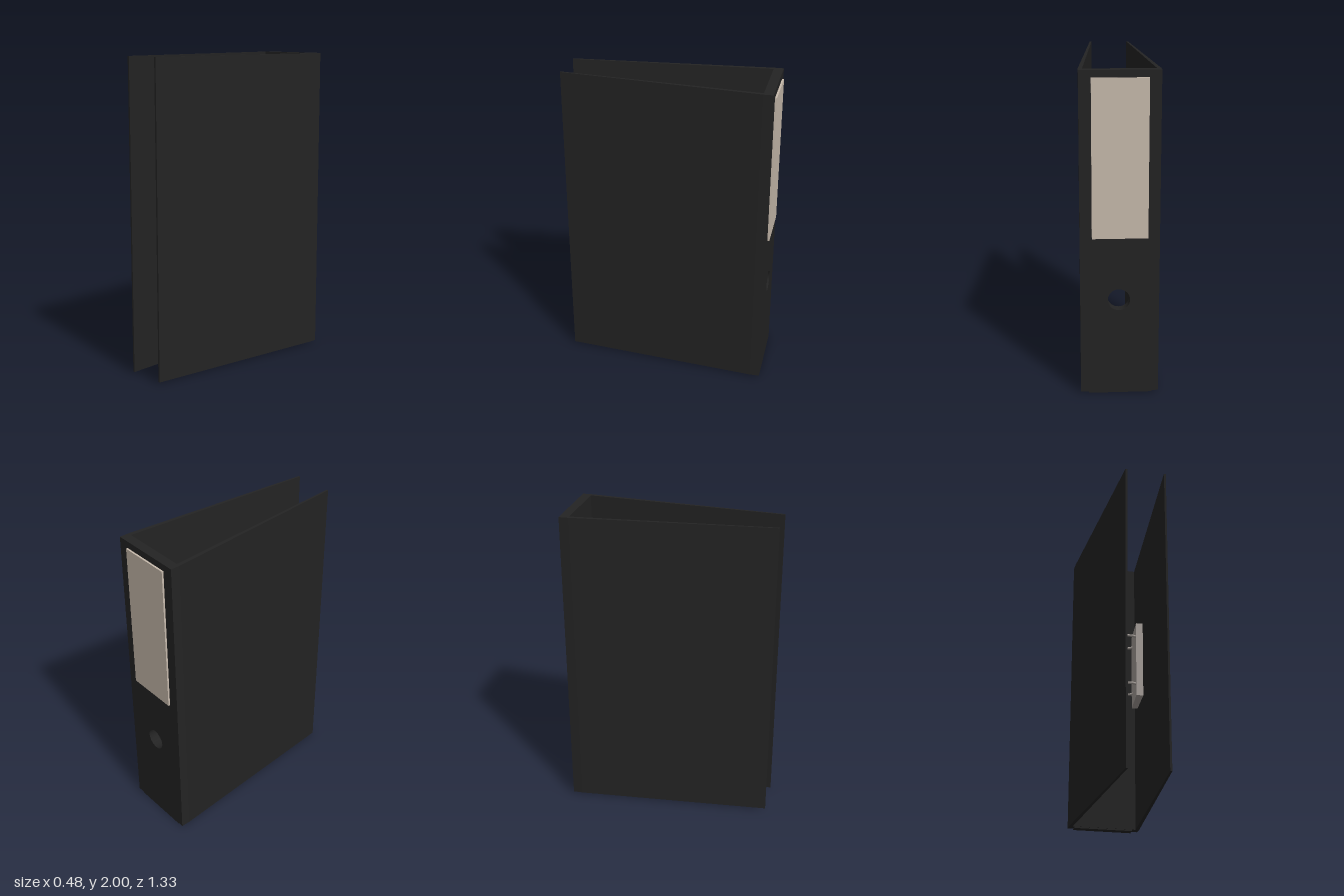
import * as THREE from 'three';

const mat = (name, color) => new THREE.MeshStandardMaterial({ name, color });

export function createModel() {
  const group = new THREE.Group();
  const black = mat('black board', 0x232323);
  const paper = mat('label paper', 0xc6b9ab);
  const metal = mat('grey metal', 0xa39c97);

  const add = (name, geometry, material) => {
    const mesh = new THREE.Mesh(geometry, material);
    mesh.name = name;
    group.add(mesh);
    return mesh;
  };
  const box = (name, material, x0, x1, y0, y1, z0, z1) => {
    const mesh = add(name, new THREE.BoxGeometry(x1 - x0, y1 - y0, z1 - z0), material);
    mesh.position.set((x0 + x1) / 2, (y0 + y1) / 2, (z0 + z1) / 2);
  };
  // Upright prism from a plan outline of [x, z] corners
  const prism = (name, material, plan, y0, y1) => {
    const shape = new THREE.Shape(plan.map(([x, z]) => new THREE.Vector2(x, -z)));
    const geo = new THREE.ExtrudeGeometry(shape, { depth: y1 - y0, bevelEnabled: false });
    add(name, geo.rotateX(-Math.PI / 2).translate(0, y0, 0), material);
  };

  // Spine with finger hole
  const spine = new THREE.Shape();
  spine.moveTo(-0.238, 0.01).lineTo(0.238, 0.01).lineTo(0.238, 2).lineTo(-0.238, 2).closePath();
  spine.holes.push(new THREE.Path().absarc(0.005, 0.615, 0.067, 0, Math.PI * 2, true));
  add('spine', new THREE.ExtrudeGeometry(spine,
    { depth: 0.06, bevelEnabled: false, curveSegments: 24 }).translate(0, 0, -0.655), black);
  box('spineFoot', black, -0.2, 0.19, 0, 0.01, -0.653, -0.597);

  // Two tapering covers leaning towards each other at the open edge
  for (const [name, s] of [['leftCover', 1], ['rightCover', -1]]) {
    prism(name, black, [
      [s * 0.238, -0.595], [s * 0.213, -0.595], [s * 0.12, 0.665], [s * 0.132, 0.665],
    ], 0.01, 2);
  }

  // Label on the back of the spine
  box('label', paper, -0.168, 0.166, 1.005, 1.957, -0.667, -0.655);

  // Ring mechanism: base on the left cover and two faceted rings
  prism('ringBase', metal, [[0.16, -0.46], [0.2, -0.458], [0.185, -0.22], [0.138, -0.222]], 0.83, 1.37);
  const ring = [
    [0.175, -0.41], [0.145, -0.442], [0.08, -0.465], [0.012, -0.456], [-0.042, -0.415],
    [-0.066, -0.35], [-0.056, -0.29], [-0.015, -0.256], [0.06, -0.244], [0.115, -0.24], [0.155, -0.255],
  ];
  for (const y of [0.925, 1.28]) {
    const curve = new THREE.CatmullRomCurve3(ring.map(([x, z]) => new THREE.Vector3(x, y, z)));
    curve.getPointAt = (u, target) => curve.getPoint(u, target);
    curve.getTangentAt = (u, target) => curve.getTangent(u, target);
    add('ring', new THREE.TubeGeometry(curve, ring.length - 1, 0.009, 8), metal);
  }
  return group;
}
